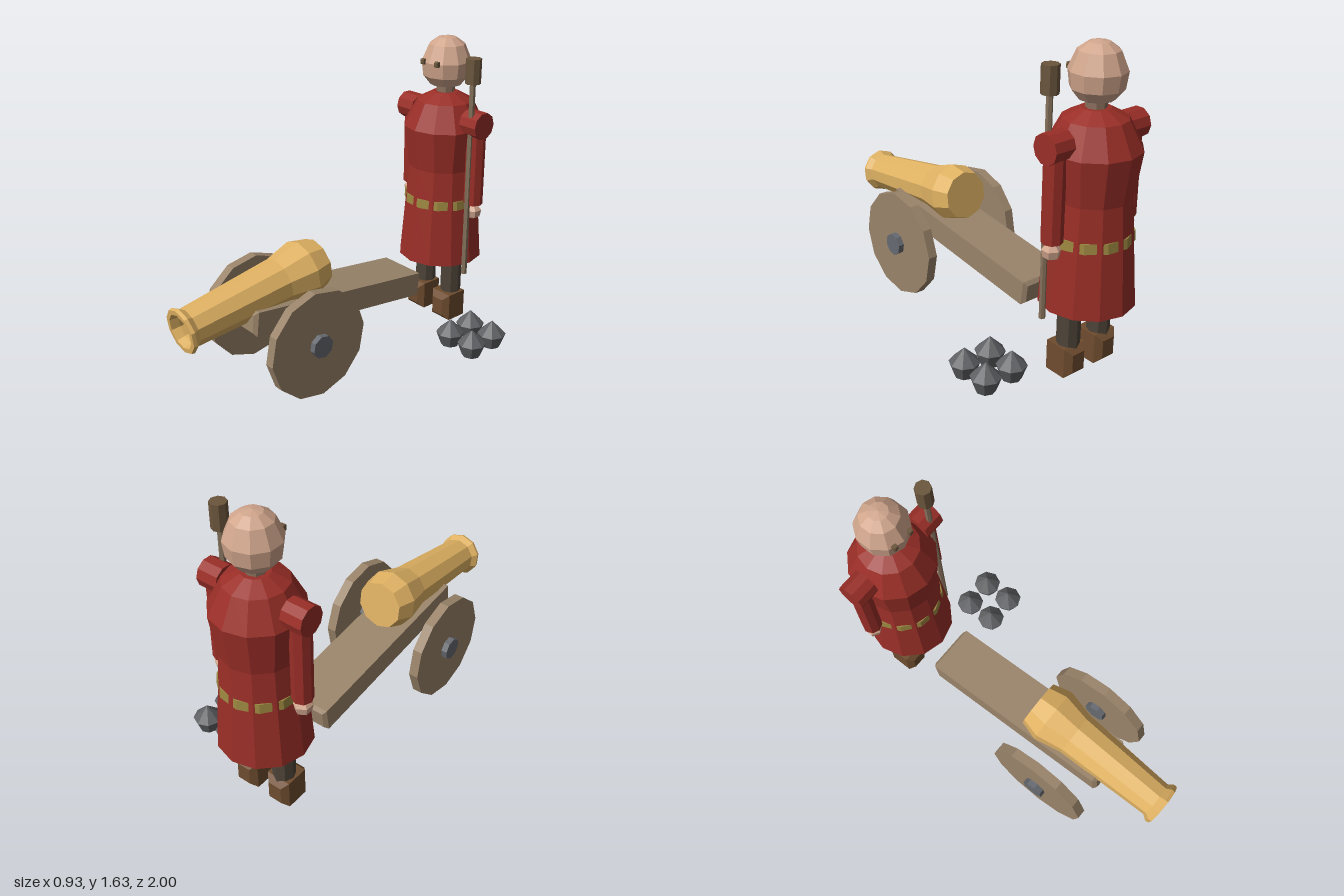
import * as THREE from 'three';

const mat = (color) => new THREE.MeshStandardMaterial({ color, flatShading: true, roughness: 0.9 });

export function createModel() {
  const model = new THREE.Group();
  const red = mat(0x9a2e27), skin = mat(0xd0a58c), neckTone = mat(0x8a6f5c), wood = mat(0x9a846a);
  const gold = mat(0xe0b263), iron = mat(0x666a70), shot = mat(0x5e6063), boot = mat(0x6e4c2e);
  const trouser = mat(0x4e4439), beltTone = mat(0x9c8740), brown = mat(0x6b563d), pole = mat(0x84705a);

  const add = (parent, name, geo, material, x = 0, y = 0, z = 0) => {
    const mesh = new THREE.Mesh(geo, material);
    mesh.name = name;
    mesh.position.set(x, y, z);
    parent.add(mesh);
    return mesh;
  };
  const lathe = (points, sides) =>
    new THREE.LatheGeometry(points.map(([r, y]) => new THREE.Vector2(r, y)), sides);
  const cyl = (r, h, sides) => new THREE.CylinderGeometry(r, r, h, sides);

  // Box with chamfered edges, centred on its origin
  const chamferBox = (w, h, d, b) => {
    const x = w / 2 - b, y = h / 2 - b;
    const shape = new THREE.Shape([[-x, -y], [x, -y], [x, y], [-x, y]].map((p) => new THREE.Vector2(...p)));
    const geo = new THREE.ExtrudeGeometry(shape, {
      depth: d - 2 * b, bevelEnabled: true, bevelSize: b, bevelThickness: b, bevelSegments: 1,
    });
    return geo.translate(0, 0, b - d / 2);
  };

  // ---- Gunner ----
  const gunner = new THREE.Group();
  gunner.name = 'gunner';
  gunner.position.set(-0.14, 0, -0.763);
  model.add(gunner);

  add(gunner, 'coat', lathe([
    [0, 0.37], [0.237, 0.37], [0.207, 0.74], [0.195, 0.91], [0.227, 1.14], [0.155, 1.28], [0.07, 1.325], [0, 1.325],
  ], 12), red);
  const belt = add(gunner, 'belt', new THREE.CylinderGeometry(0.209, 0.213, 0.05, 12, 1), beltTone, 0, 0.722, 0);
  belt.rotation.y = 0.14;
  add(gunner, 'neck', cyl(0.05, 0.12, 8), neckTone, 0, 1.35, 0);
  add(gunner, 'head', lathe([
    [0, 1.365], [0.085, 1.365], [0.125, 1.415], [0.136, 1.495], [0.098, 1.585], [0.05, 1.62], [0, 1.63],
  ], 10), skin);

  for (const s of [-1, 1]) {
    add(gunner, 'eye', chamferBox(0.026, 0.028, 0.026, 0.004), brown, s * 0.051, 1.497, 0.124);
    const shoulder = add(gunner, 'shoulder', cyl(0.074, 0.115, 10), red, s * 0.24, 1.19, 0.005);
    shoulder.rotation.z = Math.PI / 2;
    add(gunner, 'arm', cyl(0.052, 0.42, 8), red, s * 0.24, 0.945, 0);
    add(gunner, 'hand', lathe([[0, 0.642], [0.04, 0.662], [0.048, 0.7], [0.03, 0.722], [0, 0.735]], 6),
      skin, s * 0.241, 0, 0);
    add(gunner, 'leg', cyl(0.058, 0.29, 8), trouser, s * 0.102, 0.265, 0.005);
    add(gunner, 'boot', chamferBox(0.135, 0.157, 0.18, 0.03), boot, s * 0.102, 0.0785, 0.02);
  }

  // Rammer held at the left side
  const rammer = new THREE.Group();
  rammer.name = 'rammer';
  rammer.position.set(0.1, 0, -0.716);
  model.add(rammer);
  add(rammer, 'rammerPole', cyl(0.016, 1.13, 6), pole, 0, 0.885, 0);
  add(rammer, 'rammerHead', cyl(0.042, 0.133, 8), brown, 0, 1.487, 0);

  // ---- Cannon ----
  const cannon = new THREE.Group();
  cannon.name = 'cannon';
  cannon.position.x = -0.14;
  model.add(cannon);

  // Barrel profile from breech to muzzle, then back down the bore
  const barrel = add(cannon, 'barrel', lathe([
    [0, 0], [0.129, 0], [0.157, 0.1], [0.124, 0.25], [0.1, 0.785], [0.121, 0.815], [0.117, 0.833],
    [0.092, 0.833], [0.083, 0.79], [0.083, 0.3], [0, 0.3],
  ], 10), gold, 0, 0.58, 0.155);
  barrel.rotation.x = Math.PI / 2 + 0.137;

  const trail = add(cannon, 'carriageTrail', chamferBox(0.272, 0.13, 1.13, 0.018), wood, 0, 0.364, 0.085);
  trail.rotation.x = -0.124;

  for (const s of [-1, 1]) {
    const wheel = add(cannon, 'wheel', cyl(0.29, 0.052, 12), wood, s * 0.274, 0.298, 0.38);
    wheel.rotation.set(s * 0.07, 0, Math.PI / 2);
    const hub = add(cannon, 'hub', cyl(0.061, 0.114, 8), iron, s * 0.275, 0.3, 0.38);
    hub.rotation.set(0.2, 0, Math.PI / 2);
  }

  // Cannonballs laid out two by two
  const ballGeo = lathe([[0, 0], [0.05, 0.006], [0.077, 0.08], [0, 0.157]], 8);
  for (const x of [0.225, 0.385]) {
    for (const z of [-0.65, -0.49]) add(model, 'cannonball', ballGeo, shot, x, 0, z);
  }

  return model;
}
